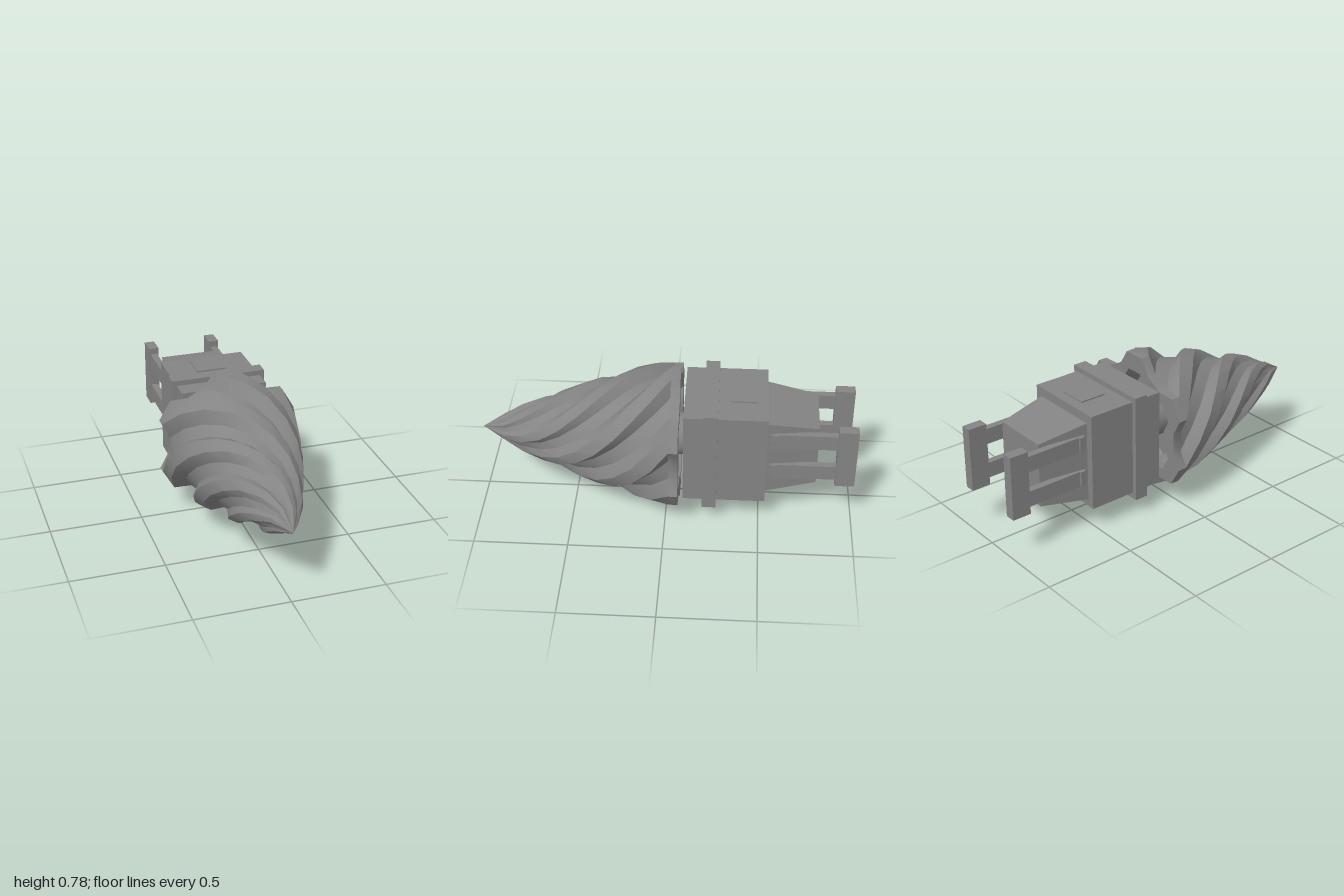
import * as THREE from 'three';
import { toCreasedNormals } from 'three/addons/utils/BufferGeometryUtils.js';

const AXIS_Y = 0.39;
const material = new THREE.MeshStandardMaterial({ color: 0x848484 });

function add(parent, name, geometry, x = 0, y = 0, z = 0) {
  const mesh = new THREE.Mesh(geometry, material);
  mesh.name = name;
  mesh.position.set(x, y, z);
  parent.add(mesh);
  return mesh;
}

// Box given by its extents along each axis
function box(parent, name, [x0, x1], [y0, y1], [z0, z1]) {
  const geometry = new THREE.BoxGeometry(x1 - x0, y1 - y0, z1 - z0);
  return add(parent, name, geometry, (x0 + x1) / 2, (y0 + y1) / 2, (z0 + z1) / 2);
}

// Six-toothed cross-section swept along z, shrinking and twisting to a point
function drillGeometry() {
  const deg = Math.PI / 180;
  const section = [];
  for (let tooth = 0; tooth < 6; tooth++) {
    const mid = 30 + tooth * 60;
    section.push([mid - 9, 1], [mid + 9, 1], [mid + 20, 0.83], [mid + 40, 0.83]);
  }
  // [z, radius, twist steps], from the hollow back over the rim to the tip
  const rings = [
    [0.1, 0, 1.3], [0.1, 0.27, 1.3], [-0.02, 0.3, 0], [-0.07, 0.3, 0], [-0.07, 0.395, 0], [-0.02, 0.395, 0],
    [0.07, 0.372, 1], [0.17, 0.348, 2], [0.27, 0.317, 3], [0.37, 0.285, 4], [0.47, 0.25, 5],
    [0.57, 0.214, 6], [0.67, 0.174, 7], [0.78, 0.13, 8], [0.88, 0.075, 9], [1, 0, 10],
  ];
  const n = section.length;
  const positions = [];
  const index = [];
  rings.forEach(([z, radius, twist], r) => {
    section.forEach(([angle, scale], i) => {
      const a = (angle - twist * 18) * deg;
      positions.push(radius * scale * Math.cos(a), radius * scale * Math.sin(a), z);
      if (r === 0) return;
      const j = (i + 1) % n;
      const a0 = (r - 1) * n + i, a1 = (r - 1) * n + j;
      const b0 = r * n + i, b1 = r * n + j;
      if (rings[r - 1][1] > 0) index.push(a0, a1, b1);
      if (radius > 0) index.push(a0, b1, b0);
    });
  });
  const geometry = new THREE.BufferGeometry();
  geometry.setAttribute('position', new THREE.Float32BufferAttribute(positions, 3));
  geometry.setIndex(index);
  return toCreasedNormals(geometry, 30 * deg);
}

export function createModel() {
  const model = new THREE.Group();
  model.name = 'drillMachine';

  add(model, 'drillBit', drillGeometry(), 0, AXIS_Y, 0);

  // Shaft from the housing into the hollow of the bit
  const shaft = new THREE.CylinderGeometry(0.115, 0.115, 0.22, 24).rotateX(Math.PI / 2);
  add(model, 'driveShaft', shaft, 0, AXIS_Y, -0.01);

  // Housing with a raised band and a top hatch
  box(model, 'housing', [-0.235, 0.235], [0.13, 0.66], [-0.53, -0.093]);
  box(model, 'housingBand', [-0.26, 0.26], [0.095, 0.688], [-0.27, -0.195]);
  box(model, 'topHatch', [-0.08, 0.08], [0.64, 0.668], [-0.475, -0.33]);

  // Rear block narrowing towards the back
  const rear = new THREE.BoxGeometry(0.39, 0.44, 0.27);
  const p = rear.attributes.position;
  for (let i = 0; i < p.count; i++) {
    if (p.getZ(i) < 0) p.setXY(i, p.getX(i) * 0.81, p.getY(i) * 0.8);
  }
  rear.computeVertexNormals();
  add(model, 'taperedRear', rear, 0, AXIS_Y, -0.665);

  // A pair of rear brackets: two arms with collars and an upright end plate
  for (const side of [-1, 1]) {
    const bracket = new THREE.Group();
    bracket.name = side > 0 ? 'leftBracket' : 'rightBracket';
    const span = (a, b) => (side > 0 ? [a, b] : [-b, -a]);
    for (const [low, high] of [[0.27, 0.355], [0.465, 0.55]]) {
      box(bracket, 'arm', span(0.165, 0.203), [low, high], [-0.91, -0.545]);
      box(bracket, 'armCollar', span(0.16, 0.213), [low, high], [-0.585, -0.56]);
    }
    box(bracket, 'endPlate', span(0.155, 0.212), [0.235, 0.585], [-1, -0.896]);
    model.add(bracket);
  }
  return model;
}
